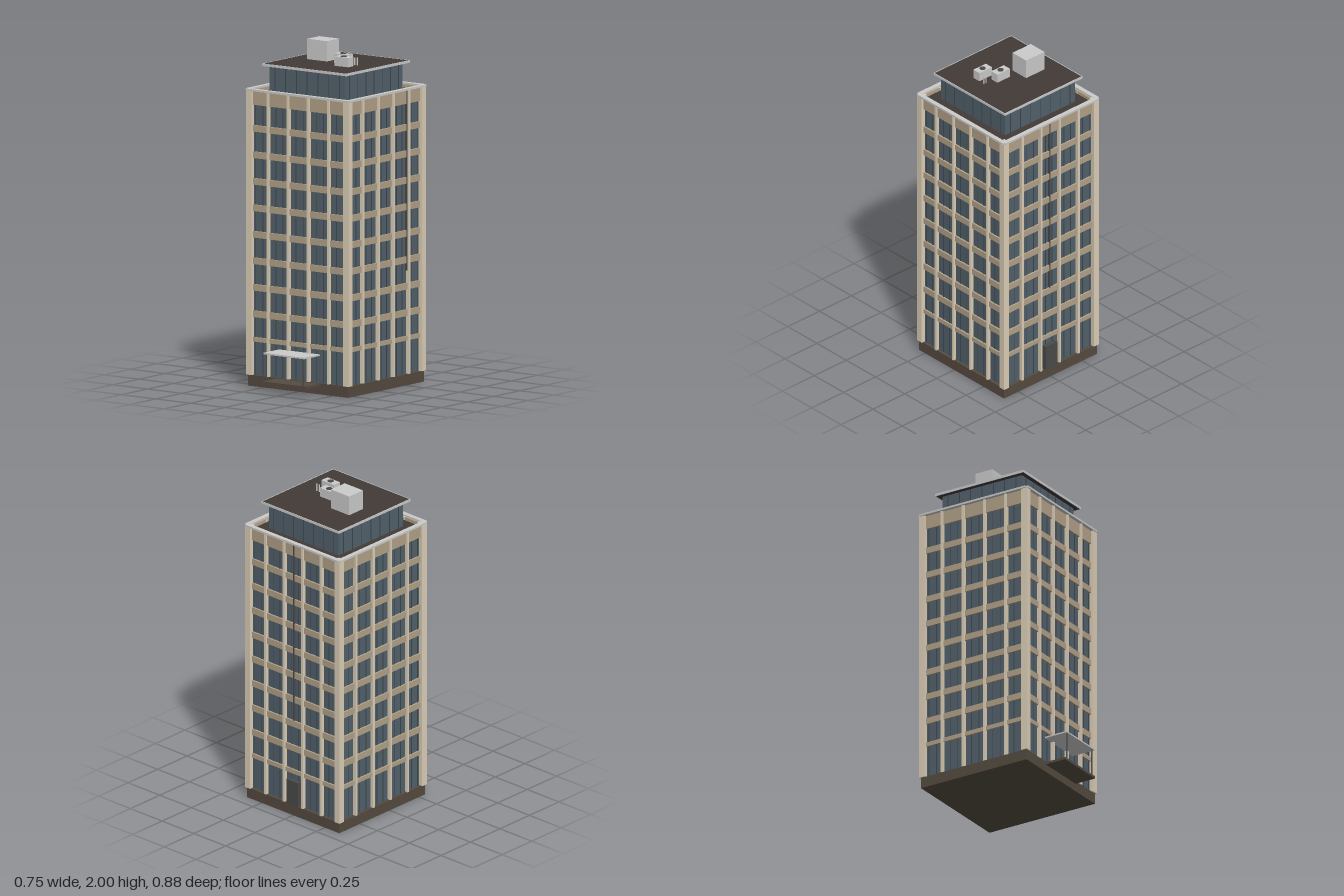
import * as THREE from 'three';

const mat = (color) => new THREE.MeshStandardMaterial({ color });
const M = {
  glass: mat(0x53616b), frame: mat(0x3c4852), spandrel: mat(0xb3a288), stone: mat(0xddcfb8),
  plinth: mat(0x554b40), roof: mat(0x413a37), dark: mat(0x4a4a4a), grey: mat(0xcccccc),
};

// Box given by its min/max extents on each axis
function box(parent, name, material, [x0, x1], [y0, y1], [z0, z1]) {
  const mesh = new THREE.Mesh(new THREE.BoxGeometry(x1 - x0, y1 - y0, z1 - z0), material);
  mesh.position.set((x0 + x1) / 2, (y0 + y1) / 2, (z0 + z1) / 2);
  mesh.name = name;
  parent.add(mesh);
  return mesh;
}

function rod(parent, name, material, radius, x, [y0, y1], z, sides = 10) {
  const mesh = new THREE.Mesh(new THREE.CylinderGeometry(radius, radius, y1 - y0, sides), material);
  mesh.position.set(x, (y0 + y1) / 2, z);
  mesh.name = name;
  parent.add(mesh);
}

const BASE = 0.065, ROOF = 1.71, TOP = 1.735, BAY = 0.146;

// One facade, facing +z; repeated on the four sides
function createFacade() {
  const side = new THREE.Group();
  side.name = 'facade';

  // Spandrel bands between the storeys
  for (let i = 0; i < 9; i++) {
    const top = 0.286 + i * 0.155;
    box(side, 'spandrel', M.spandrel, [-0.335, 0.335], [top - (i ? 0.038 : 0.026), top], [0.34, 0.356]);
  }
  box(side, 'topSpandrel', M.spandrel, [-0.335, 0.335], [1.645, 1.73], [0.34, 0.356]);

  // Main piers and the thin window frames between them
  for (const k of [-1.5, -0.5, 0.5, 1.5])
    box(side, 'pier', M.stone, [k * BAY - 0.007, k * BAY + 0.007], [BASE, 1.73], [0.34, 0.367]);
  for (let b = -2; b <= 2; b++)
    for (const s of [-1, 1]) {
      const x = b * BAY + s * 0.026;
      box(side, 'windowFrame', M.frame, [x - 0.0015, x + 0.0015], [BASE, 1.645], [0.344, 0.349]);
    }

  // Parapet coping
  box(side, 'coping', M.grey, [-0.366, 0.366], [1.727, 1.739], [0.35, 0.377]);

  // Penthouse glazing bars
  for (let i = -3; i <= 3; i++)
    box(side, 'penthouseFrame', M.frame, [i * 0.078 - 0.002, i * 0.078 + 0.002], [ROOF, 1.867], [0.27, 0.277]);

  // Light edge strip of the penthouse roof
  box(side, 'roofEdge', M.grey, [-0.304, 0.304], [1.867, 1.882], [0.3, 0.304]);
  return side;
}

function createTower() {
  const tower = new THREE.Group();
  tower.name = 'tower';
  tower.position.z = -0.0635;

  const block = (name, m, half, y) => box(tower, name, m, [-half, half], y, [-half, half]);
  block('plinth', M.plinth, 0.363, [0, BASE]);
  block('glassBody', M.glass, 0.345, [BASE, ROOF - 0.01]);
  block('mainRoof', M.roof, 0.352, [ROOF - 0.01, ROOF]);
  block('penthouse', M.glass, 0.274, [ROOF, 1.867]);
  block('penthouseRoof', M.roof, 0.301, [1.868, 1.881]);

  for (let i = 0; i < 4; i++) {
    const side = createFacade();
    side.rotation.y = i * Math.PI / 2;
    tower.add(side);
  }

  // Corner columns
  for (const sx of [-1, 1])
    for (const sz of [-1, 1]) {
      const column = box(tower, 'cornerColumn', M.stone, [-0.0195, 0.0195], [BASE, TOP], [-0.0195, 0.0195]);
      column.position.x = sx * 0.3515;
      column.position.z = sz * 0.3515;
    }

  // Service conduits and rear door
  box(tower, 'sideConduit', M.dark, [0.345, 0.36], [0.67, TOP - 0.01], [-0.208, -0.203]);
  box(tower, 'rearConduit', M.dark, [-0.003, 0.003], [0.6, TOP - 0.01], [-0.36, -0.345]);
  box(tower, 'rearDoor', M.dark, [-0.045, 0.045], [BASE, 0.22], [-0.372, -0.344]);
  return tower;
}

function createEntrance() {
  const entrance = new THREE.Group();
  entrance.name = 'entrance';
  box(entrance, 'entranceStep', M.plinth, [-0.158, 0.158], [0.047, 0.062], [0.29, 0.433]);
  box(entrance, 'canopy', M.grey, [-0.147, 0.147], [0.222, 0.231], [0.285, 0.437]);
  for (const s of [-1, 1])
    rod(entrance, 'canopyPost', M.dark, 0.004, s * 0.133, [0.06, 0.224], 0.426);
  return entrance;
}

function createRoofEquipment() {
  const roof = new THREE.Group();
  roof.name = 'roofEquipment';
  box(roof, 'liftHousing', M.grey, [-0.195, -0.052], [1.88, 2], [-0.162, -0.045]);

  // Cooling units with round fans
  for (const [x, z] of [[0.056, -0.061], [0.121, 0.0215]]) {
    box(roof, 'coolingUnit', M.grey, [x - 0.049, x + 0.049], [1.88, 1.936], [z - 0.026, z + 0.026]);
    rod(roof, 'coolingFan', M.dark, 0.018, x, [1.93, 1.939], z, 24);
  }

  // Vent pipes
  rod(roof, 'ventPipe', M.grey, 0.004, 0.152, [1.88, 1.925], -0.041);
  rod(roof, 'ventPipe', M.grey, 0.004, 0.17, [1.88, 1.925], -0.043);
  return roof;
}

export function createModel() {
  const model = new THREE.Group();
  model.name = 'officeTower';
  model.add(createTower(), createEntrance(), createRoofEquipment());
  return model;
}
